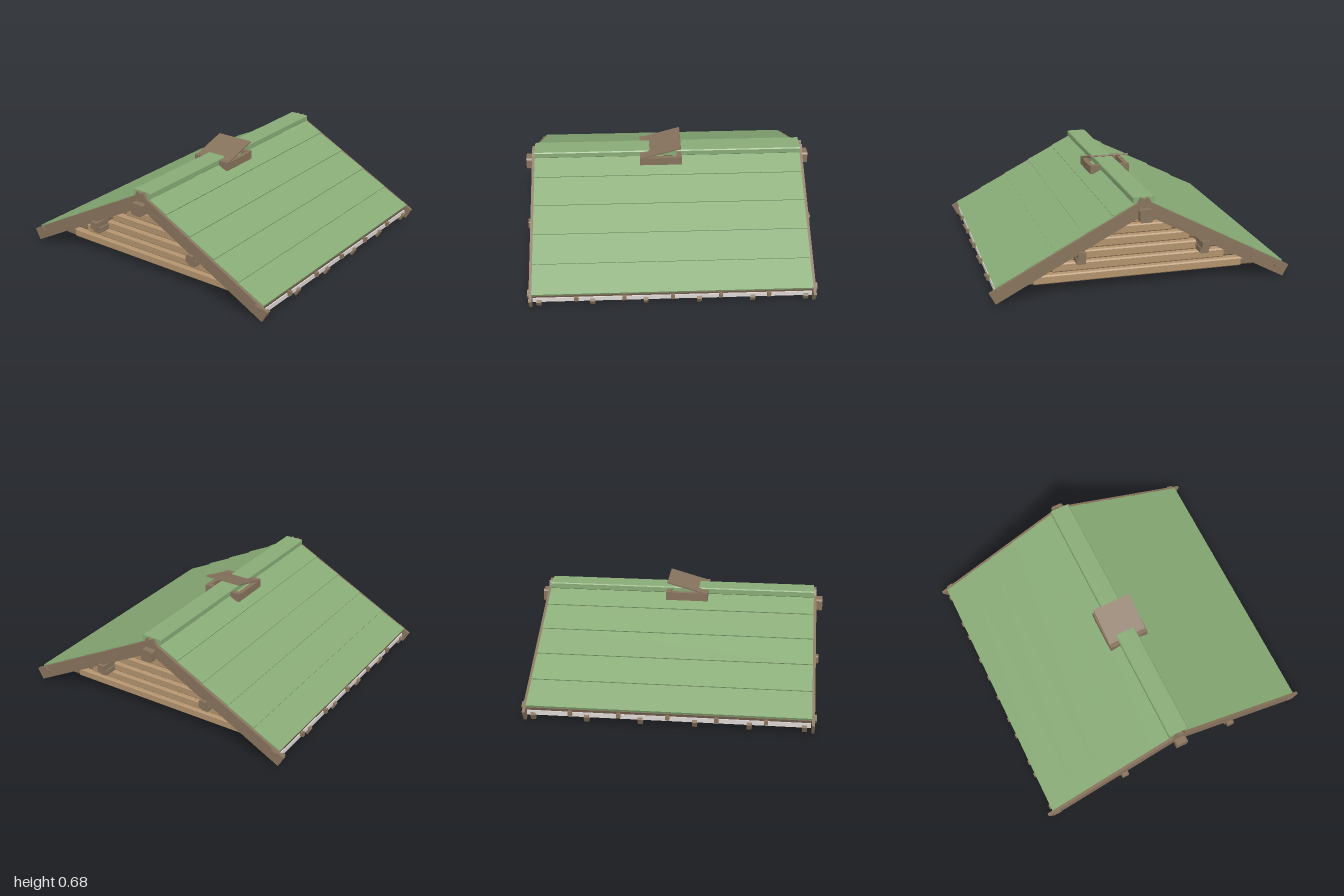
import * as THREE from 'three';

const SLOPE = 0.53;
const A = Math.atan(SLOPE);

const material = (name, color) => {
  const m = new THREE.MeshStandardMaterial({ color });
  m.name = name;
  return m;
};

// Beam along z with chamfered long edges
function beamGeometry(w, h, length, c = 0.006) {
  const x = w / 2, y = h / 2;
  const shape = new THREE.Shape([
    [-x + c, -y], [x - c, -y], [x, -y + c], [x, y - c],
    [x - c, y], [-x + c, y], [-x, y - c], [-x, -y + c],
  ].map(([a, b]) => new THREE.Vector2(a, b)));
  const g = new THREE.ExtrudeGeometry(shape, { depth: length, bevelEnabled: false });
  g.translate(0, 0, -length / 2);
  return g;
}

export function createModel() {
  const model = new THREE.Group();
  model.name = 'gableRoof';
  const green = material('greenBoards', 0x88ab76);
  const timber = material('darkTimber', 0x87735c);
  const tan = material('tanLogs', 0xb3936e);
  const lidWood = material('hatchWood', 0x85725d);
  const pale = material('paleTrim', 0xdcd5d2);

  function add(parent, name, geometry, mat, x = 0, y = 0, z = 0) {
    const mesh = new THREE.Mesh(geometry, mat);
    mesh.name = name;
    mesh.position.set(x, y, z);
    parent.add(mesh);
    return mesh;
  }
  const box = (parent, name, mat, w, h, d, x, y, z) =>
    add(parent, name, new THREE.BoxGeometry(w, h, d), mat, x, y, z);

  // Box on the +x slope: its top follows y = top - SLOPE * x from xa to xb
  function slopeBox(parent, name, mat, xa, xb, top, thick, depth, z, tilt = 0) {
    const xm = (xa + xb) / 2;
    const mesh = box(parent, name, mat, (xb - xa) / Math.cos(A), thick, depth,
      xm - Math.sin(A) * thick / 2, top - SLOPE * xm - Math.cos(A) * thick / 2, z);
    mesh.rotation.z = -A + tilt;
    return mesh;
  }

  // One roof side, turned half round for the other
  for (const name of ['leftSlope', 'rightSlope']) {
    const half = new THREE.Group();
    half.name = name;
    half.rotation.y = name === 'leftSlope' ? 0 : Math.PI;
    model.add(half);

    // Overlapping boards
    for (let i = 0; i < 5; i++) {
      const edge = 0.2 + 0.19 * i;
      slopeBox(half, 'roofBoard', green, edge - 0.2, edge, 0.613, 0.016, 1.85, 0, 0.035);
    }
    // Rafters
    for (let i = 0; i < 6; i++) {
      slopeBox(half, 'rafter', timber, 0, 0.97, 0.558, 0.046, 0.032, -0.88 + 0.352 * i);
    }
    // Barge boards, crossing a little past the ridge
    for (const z of [-0.934, 0.934]) {
      slopeBox(half, 'bargeBoard', timber, -0.025, 1, 0.607, 0.085, 0.02, z);
    }
    // Purlin with a block under each end
    add(half, 'purlin', beamGeometry(0.05, 0.055, 1.93), timber, 0.41, 0.272, 0);
    for (const z of [-0.89, 0.89]) {
      add(half, 'purlinBlock', beamGeometry(0.06, 0.045, 0.09), timber, 0.41, 0.232, z);
    }
    // Eave beam, trim strip and clips
    add(half, 'eaveBeam', beamGeometry(0.05, 0.04, 1.91), timber, 0.925, 0.089, 0).rotation.z = -A;
    box(half, 'eaveTrim', pale, 0.008, 0.03, 1.84, 0.947, 0.052, 0);
    for (let i = -2; i <= 2; i++) {
      box(half, 'eaveClip', timber, 0.036, 0.03, 0.026, 0.953, 0.065, i * 0.317);
    }
  }

  // Ridge
  add(model, 'ridgeBeam', beamGeometry(0.084, 0.084, 1.975, 0.01), timber, 0, 0.51, 0);
  add(model, 'ridgeCap', beamGeometry(0.14, 0.045, 1.85, 0.006), green, 0, 0.598, 0);

  // Gable logs with slimmer dark ends
  for (const z of [-0.81, 0.81]) {
    const gable = new THREE.Group();
    gable.name = z > 0 ? 'frontGable' : 'backGable';
    gable.position.z = z;
    model.add(gable);
    for (let i = 0; i < 6; i++) {
      const y = 0.092 + 0.0735 * i;
      const reach = 0.79 - 0.122 * i;
      const core = reach - 0.09;
      add(gable, 'gableLog', beamGeometry(0.07, 0.059, 2 * core, 0.008), tan, 0, y, 0).rotation.y = Math.PI / 2;
      for (const s of [-1, 1]) {
        add(gable, 'logEnd', beamGeometry(0.062, 0.053, 0.09, 0.01), timber,
          s * (core + 0.045), y, 0).rotation.y = Math.PI / 2;
      }
    }
  }

  // Ridge hatch: frame and propped lid
  const hatch = new THREE.Group();
  hatch.name = 'ridgeHatch';
  model.add(hatch);
  for (const s of [-1, 1]) {
    box(hatch, 'hatchSide', timber, 0.03, 0.056, 0.22, s * 0.127, 0.578, 0.048);
    box(hatch, 'hatchEnd', lidWood, 0.28, 0.06, 0.035, 0, 0.579, 0.048 + s * 0.127);
  }
  box(hatch, 'hatchLid', lidWood, 0.272, 0.01, 0.262, 0, 0.641, 0.037).rotation.x = 0.28;

  return model;
}
